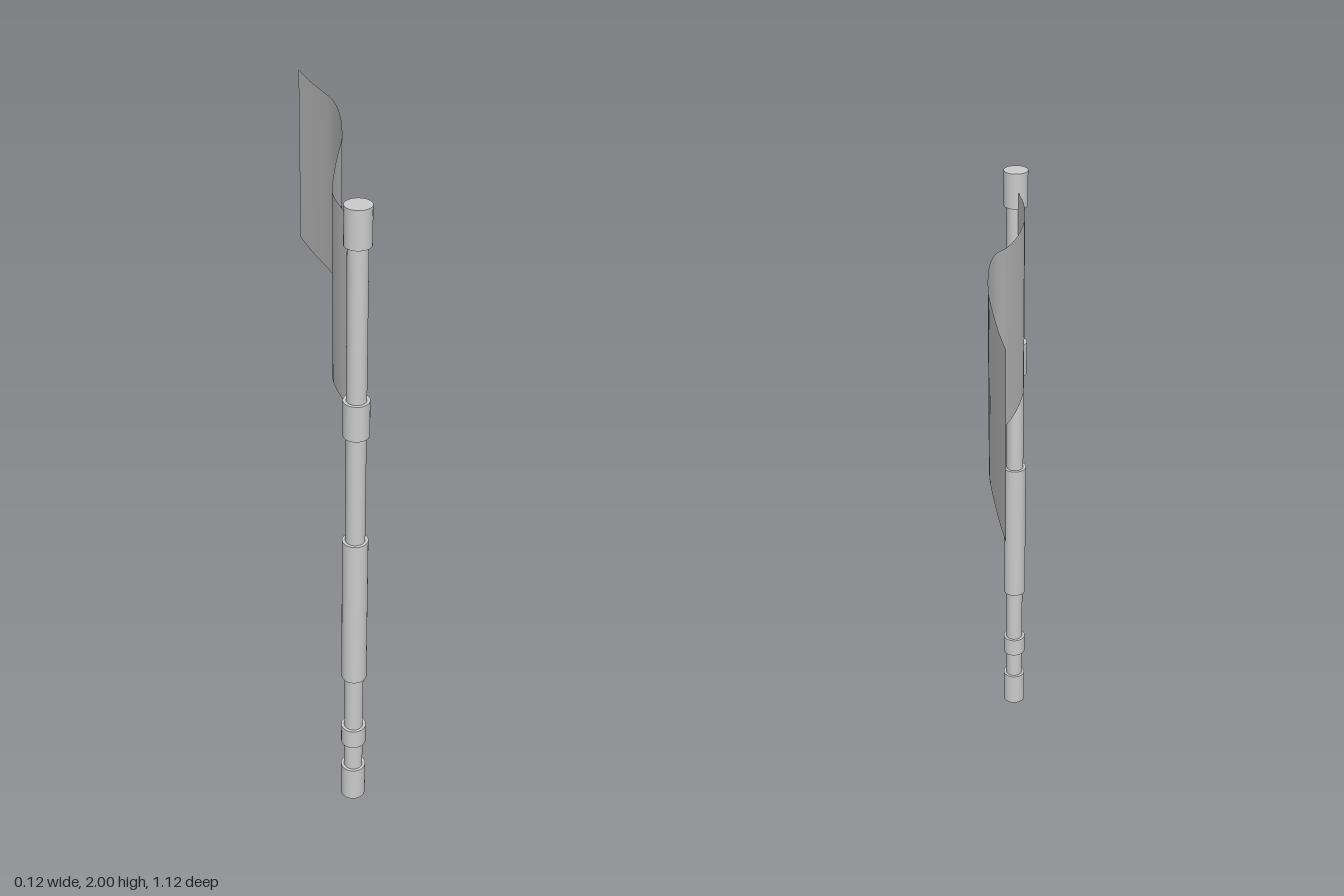
import * as THREE from 'three';

const POLE_X = 0.022, POLE_Z = 0.521;

export function createModel() {
  const model = new THREE.Group();
  model.name = 'flagOnPole';
  const metal = new THREE.MeshStandardMaterial({ color: 0xcccccc });
  const cloth = new THREE.MeshStandardMaterial({ color: 0xcccccc, side: THREE.DoubleSide });

  // Upright cylinder on the pole axis between two heights
  const addCylinder = (name, radius, y0, y1) => {
    const mesh = new THREE.Mesh(new THREE.CylinderGeometry(radius, radius, y1 - y0, 32), metal);
    mesh.position.set(POLE_X, (y0 + y1) / 2, POLE_Z);
    mesh.name = name;
    model.add(mesh);
  };

  // Pole shaft with its thicker grip and collars
  addCylinder('poleShaft', 0.028, 0.02, 1.98);
  addCylinder('buttCap', 0.037, 0, 0.118);
  addCylinder('lowerCollar', 0.037, 0.215, 0.28);
  addCylinder('grip', 0.037, 0.475, 0.975);
  addCylinder('flagCollar', 0.037, 1.325, 1.435);
  addCylinder('topCap', 0.037, 1.89, 2);

  // Waving cloth: the top edge as x, y, z, dropped straight down
  const topEdge = new THREE.CatmullRomCurve3([
    [0.012, 1.942, 0.491], [-0.014, 1.941, 0.40], [-0.025, 1.932, 0.30], [-0.015, 1.925, 0.20],
    [0.004, 1.935, 0.09], [0.025, 1.955, 0], [0.031, 1.966, -0.09], [0.027, 1.97, -0.18],
    [0.016, 1.962, -0.27], [-0.008, 1.95, -0.37], [-0.032, 1.942, -0.46], [-0.06, 1.942, -0.558],
  ].map((p) => new THREE.Vector3(...p)));
  const segments = 33, drop = 0.56;
  const geometry = new THREE.PlaneGeometry(1, 1, segments, 1);
  const position = geometry.attributes.position;
  for (let i = 0; i <= segments; i++) {
    const p = topEdge.getPoint(i / segments);
    position.setXYZ(i, p.x, p.y, p.z);
    position.setXYZ(i + segments + 1, p.x, p.y - drop, p.z);
  }
  geometry.computeVertexNormals();
  const flag = new THREE.Mesh(geometry, cloth);
  flag.name = 'flagCloth';
  model.add(flag);

  return model;
}
